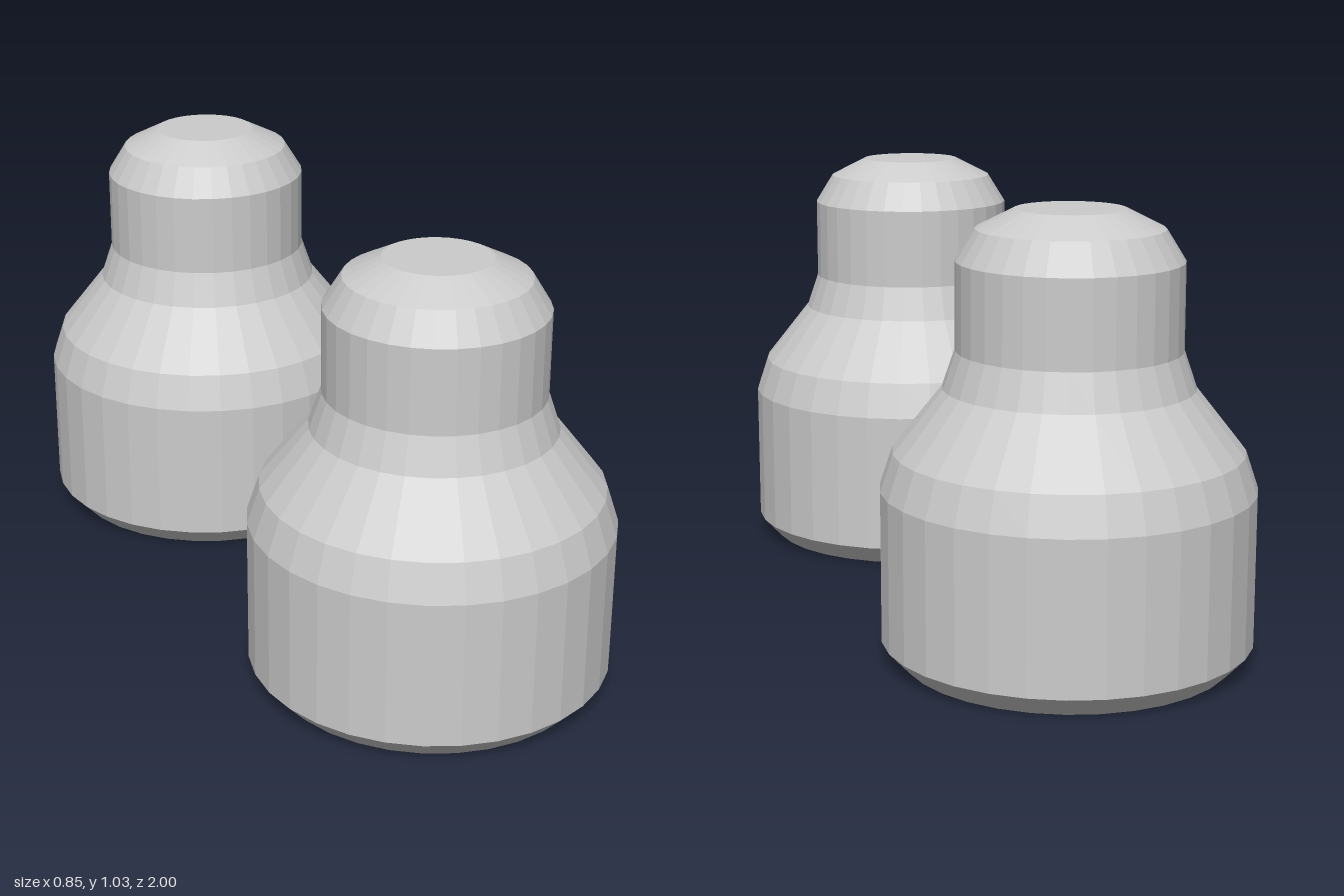
import * as THREE from 'three';

export function createModel() {
  const group = new THREE.Group();
  const material = new THREE.MeshStandardMaterial({ color: 0xcccccc, flatShading: true });

  // Half profile from base centre to top centre: chamfer, body, shoulder, neck, cap
  const profile = [
    [0, 0], [0.38, 0], [0.427, 0.05], [0.427, 0.4], [0.398, 0.487], [0.285, 0.63],
    [0.256, 0.715], [0.256, 0.915], [0.212, 0.986], [0.125, 1.03], [0, 1.03],
  ].map(([r, y]) => new THREE.Vector2(r, y));
  const geometry = new THREE.LatheGeometry(profile, 32);

  // Matching pair, one in front and one behind
  for (const [name, side] of [['frontShaker', 1], ['backShaker', -1]]) {
    const shaker = new THREE.Mesh(geometry, material);
    shaker.name = name;
    shaker.position.z = side * 0.573;
    group.add(shaker);
  }
  return group;
}
